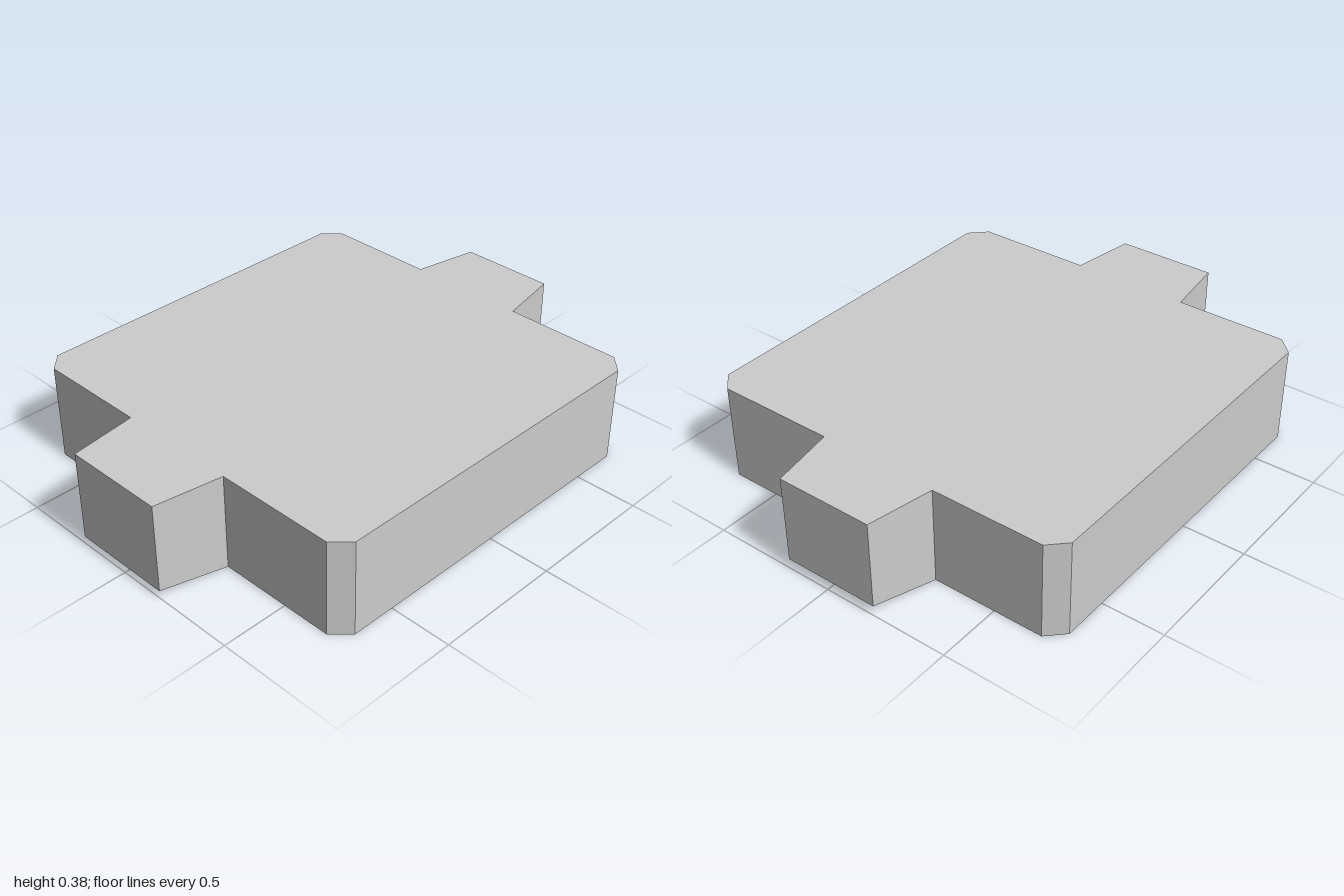
import * as THREE from 'three';

const HEIGHT = 0.38, RECESS = 0.06, HALF_X = 0.741, HALF_Z = 0.757;
const BODY_X = 0.004; // the body sits slightly off centre between the tab ends
const material = new THREE.MeshStandardMaterial({ color: 0xcccccc, flatShading: true });

// Points are given as [x, z]; the result runs counter-clockwise
const toVectors = (points) => points.map(([x, z]) => new THREE.Vector2(x, -z)).reverse();

// Rectangle with clipped corners
function clippedRect(hx, hz, c) {
  return [
    [hx - c, -hz], [hx, -hz + c], [hx, hz - c], [hx - c, hz],
    [-hx + c, hz], [-hx, hz - c], [-hx, -hz + c], [-hx + c, -hz],
  ];
}

// Horizontal slab from y0 to y1, optionally with a hole
function slab(name, outline, y0, y1, hole) {
  const shape = new THREE.Shape(toVectors(outline));
  if (hole) shape.holes.push(new THREE.Path(toVectors(hole)));
  const geometry = new THREE.ExtrudeGeometry(shape, { depth: y1 - y0, bevelEnabled: false });
  geometry.rotateX(-Math.PI / 2).translate(BODY_X, y0, 0);
  const mesh = new THREE.Mesh(geometry, material);
  mesh.name = name;
  return mesh;
}

// Side tab: a box whose outer end narrows in z and rises at the bottom
function tab(name, side, zBack, zFront, endBottom) {
  const geometry = new THREE.BoxGeometry(1, 1, 1);
  const p = geometry.attributes.position;
  for (let i = 0; i < p.count; i++) {
    const outer = p.getX(i) * side > 0;
    const x = outer ? side : side * HALF_X + BODY_X;
    const y = p.getY(i) > 0 ? HEIGHT : outer ? endBottom : 0;
    const z = p.getZ(i) > 0 ? (outer ? zFront : 0.223) : (outer ? zBack : -0.252);
    p.setXYZ(i, x, y, z);
  }
  geometry.computeVertexNormals();
  const mesh = new THREE.Mesh(geometry, material);
  mesh.name = name;
  return mesh;
}

export function createModel() {
  const group = new THREE.Group();
  group.name = 'block';

  const outline = clippedRect(HALF_X, HALF_Z, 0.064);

  // Underside recess, stepping inward beside each tab
  const inset = clippedRect(HALF_X - 0.08, HALF_Z - 0.08, 0.015);
  const notch = [[HALF_X - 0.08, -0.25], [0.5, -0.09], [0.5, 0.07], [HALF_X - 0.08, 0.23]];
  const mirrored = notch.map(([x, z]) => [-x, z]).reverse();
  const recess = [...inset.slice(0, 2), ...notch, ...inset.slice(2, 6), ...mirrored, ...inset.slice(6)];

  group.add(
    slab('body', outline, RECESS, HEIGHT),
    slab('bottomRim', outline, 0, RECESS, recess),
    tab('leftTab', 1, -0.205, 0.175, 0.04),
    tab('rightTab', -1, -0.217, 0.183, 0.03),
  );
  return group;
}
